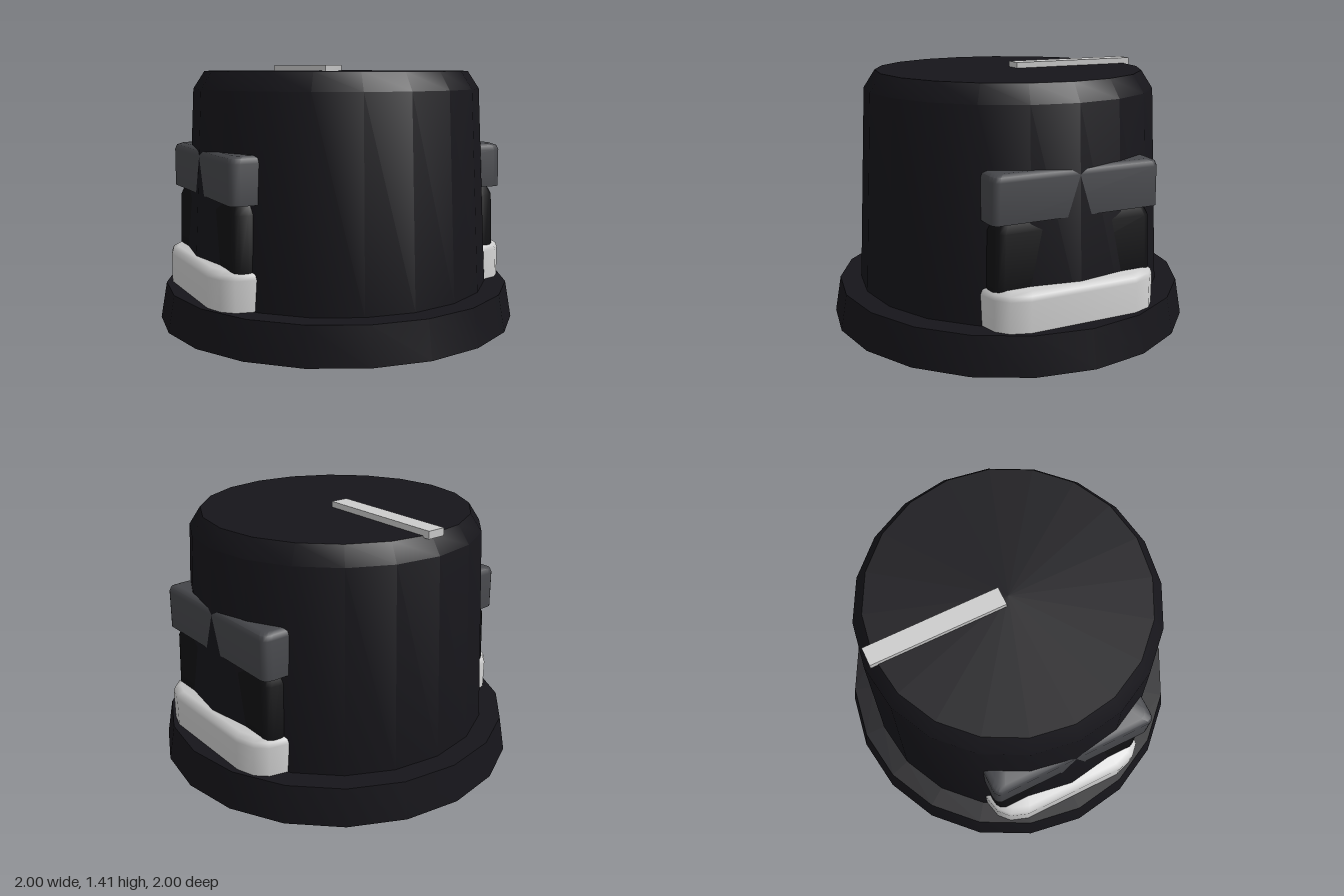
import * as THREE from 'three';
import { toCreasedNormals } from 'three/addons/utils/BufferGeometryUtils.js';

const paint = (color, side = THREE.FrontSide) => new THREE.MeshStandardMaterial({ color, side, roughness: 0.8 });

// Rectangle in xz with each corner rounded by a four-point curve
function outline(x, z, cx, cz) {
  const corner = [[x, z - cz], [x - cx * 0.17, z - cz * 0.45], [x - cx * 0.47, z - cz * 0.14], [x - cx, z]];
  const mirrored = [...corner].reverse();
  return [
    ...corner,
    ...mirrored.map(([a, b]) => [-a, b]),
    ...corner.map(([a, b]) => [-a, -b]),
    ...mirrored.map(([a, b]) => [a, -b]),
  ];
}

// Skin a stack of [outline, y] sections and close the first and last with lids
function loft(sections) {
  const n = sections[0][0].length;
  const pos = [], idx = [];
  sections.forEach(([ring, y]) => ring.forEach(([x, z]) => pos.push(x, y, z)));
  for (let k = 0; k < sections.length - 1; k++) {
    for (let i = 0; i < n; i++) {
      const j = (i + 1) % n, a = k * n + i, b = k * n + j;
      idx.push(a, a + n, b, b, a + n, b + n);
    }
  }
  const top = (sections.length - 1) * n, centre = pos.length / 3;
  pos.push(0, sections[sections.length - 1][1], 0, 0, sections[0][1], 0);
  for (let i = 0; i < n; i++) {
    const j = (i + 1) % n;
    idx.push(centre, top + j, top + i, centre + 1, i, j);
  }
  const g = new THREE.BufferGeometry();
  g.setAttribute('position', new THREE.Float32BufferAttribute(pos, 3));
  g.setIndex(idx);
  return toCreasedNormals(g, 0.85);
}

export function createModel() {
  const model = new THREE.Group();
  model.name = 'controlKnob';
  const add = (name, geometry, material) => {
    const mesh = new THREE.Mesh(geometry, material);
    mesh.name = name;
    model.add(mesh);
  };

  // Hollow turned cap with a flared skirt and chamfered top
  const profile = [[1, 0], [0.965, 0.2], [0.848, 0.2], [0.792, 1.28], [0.73, 1.375], [0, 1.375]];
  const cap = new THREE.LatheGeometry(profile.map(([r, y]) => new THREE.Vector2(r, y)), 20);
  add('knobBody', toCreasedNormals(cap, 0.56), paint(0x16151a, THREE.DoubleSide));

  // Pointer bar on the top, running to the back
  add('pointer', new THREE.BoxGeometry(0.1, 0.04, 0.73).translate(0, 1.386, -0.397), paint(0xc4c4c2));

  // Light sleeve: a thin-walled tray, open underneath
  const lip = outline(0.865, 0.46, 0.19, 0.175);
  const wall = outline(0.884, 0.478, 0.195, 0.18);
  add('sleeve', loft([
    [lip, 0.385],
    [lip, 0.01],
    [wall, 0.01],
    [wall, 0.36],
    [outline(0.876, 0.47, 0.19, 0.175), 0.385],
    [outline(0.85, 0.445, 0.18, 0.165), 0.402],
  ]), paint(0xcccccc));

  // Black frame inside the sleeve, open below to the sleeve's ceiling
  const frame = new THREE.Shape(outline(0.8, 0.45, 0.15, 0.14).map(([x, z]) => new THREE.Vector2(x, z)));
  frame.holes.push(new THREE.Path([[-0.72, -0.36], [-0.72, 0.36], [0.72, 0.36], [0.72, -0.36]]
    .map(([x, z]) => new THREE.Vector2(x, z))));
  const frameGeometry = new THREE.ExtrudeGeometry(frame, { depth: 0.32, bevelEnabled: false });
  add('innerFrame', frameGeometry.rotateX(Math.PI / 2).translate(0, 0.39, 0), paint(0x0e0e10));

  // Black neck above the sleeve
  add('neck', loft([
    [outline(0.797, 0.452, 0.08, 0.05), 0.39],
    [outline(0.792, 0.442, 0.08, 0.05), 0.68],
    [outline(0.775, 0.42, 0.08, 0.05), 0.73],
  ]), paint(0x111113));

  // Grey clip block, just breaking through the cap on both sides
  add('clipBlock', loft([
    [outline(0.81, 0.466, 0.05, 0.035), 0.73],
    [outline(0.81, 0.463, 0.05, 0.035), 0.935],
    [outline(0.802, 0.455, 0.05, 0.035), 0.96],
    [outline(0.775, 0.43, 0.05, 0.035), 0.972],
  ]), paint(0x46474b));

  return model;
}
